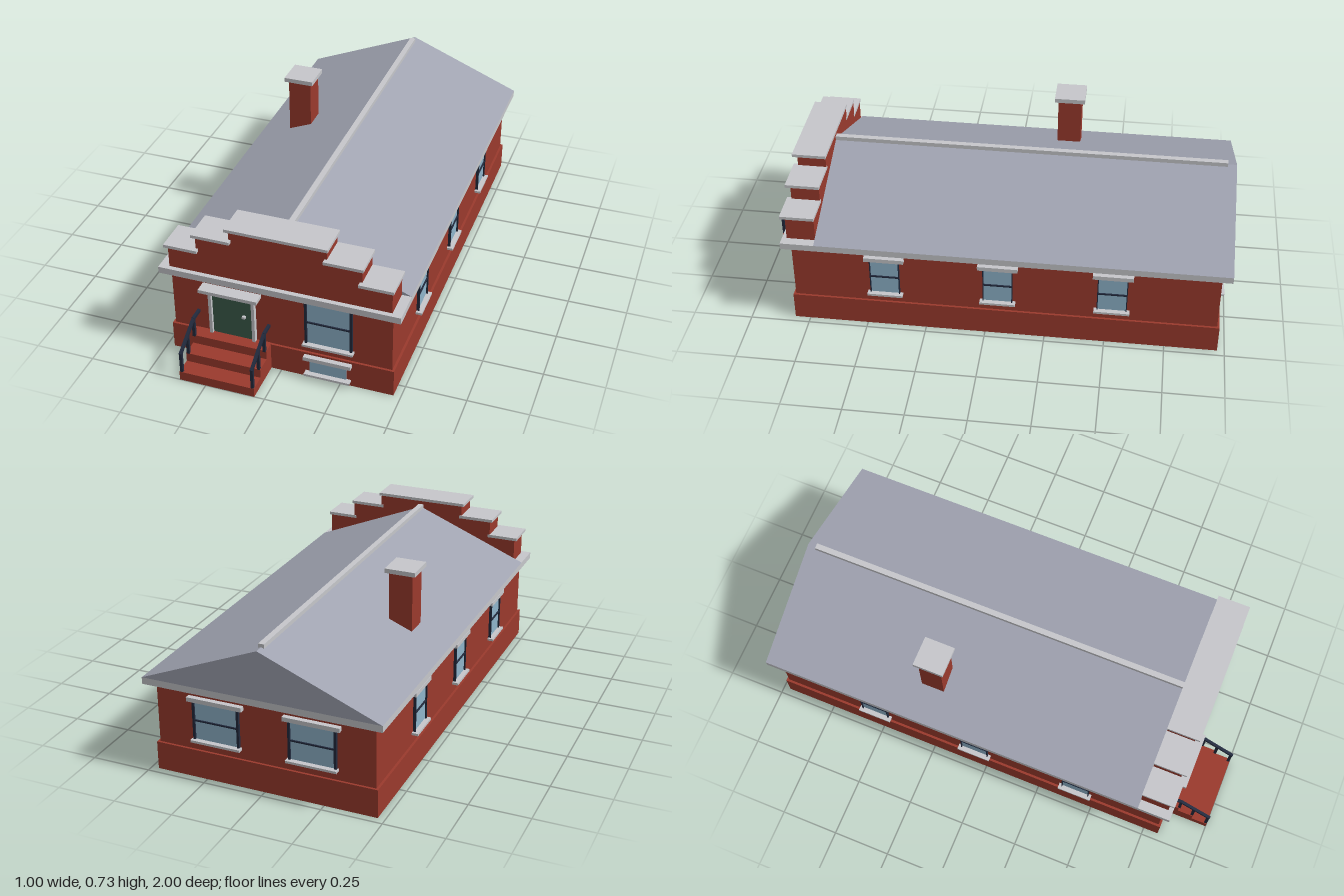
import * as THREE from 'three';

const mat = (name, color) => {
  const m = new THREE.MeshStandardMaterial({ color });
  m.name = name;
  return m;
};

export function createModel() {
  const brick = mat('brick', 0x9a3a2d);
  const trim = mat('stone trim', 0xc6c7cb);
  const slate = mat('roof slate', 0xa0a3b1);
  const glass = mat('window glass', 0x8fb4cb);
  const green = mat('door green', 0x3c5b4b);
  const navy = mat('dark metal', 0x222a3d);

  const model = new THREE.Group();
  model.name = 'building';

  // Box given by its low and high limits on each axis
  const box = (parent, name, m, x0, x1, y0, y1, z0, z1) => {
    const mesh = new THREE.Mesh(new THREE.BoxGeometry(x1 - x0, y1 - y0, z1 - z0), m);
    mesh.position.set((x0 + x1) / 2, (y0 + y1) / 2, (z0 + z1) / 2);
    mesh.name = name;
    parent.add(mesh);
    return mesh;
  };
  const group = (name, parent = model) => {
    const g = new THREE.Group();
    g.name = name;
    parent.add(g);
    return g;
  };

  // Walls, plinth and eaves
  box(model, 'walls', brick, -0.46, 0.46, 0.12, 0.385, -0.96, 0.805);
  box(model, 'plinth', brick, -0.47, 0.47, 0, 0.12, -0.97, 0.815);
  box(model, 'eaves', trim, -0.5, 0.5, 0.383, 0.411, -1, 0.84);

  // Gabled roof with ridge cap
  const gable = new THREE.Shape([
    new THREE.Vector2(-0.5, 0.411),
    new THREE.Vector2(0.5, 0.411),
    new THREE.Vector2(0, 0.615),
  ]);
  const roof = new THREE.Mesh(
    new THREE.ExtrudeGeometry(gable, { depth: 1.7, bevelEnabled: false }), slate);
  roof.position.z = -1;
  roof.name = 'roof';
  model.add(roof);
  box(model, 'ridgeCap', trim, -0.012, 0.012, 0.6, 0.628, -0.962, 0.7);

  // Stepped front parapet with coping stones
  const parapet = group('parapet');
  [[0.46, 0.411, 0.512], [0.34, 0.512, 0.586], [0.2, 0.586, 0.644]].forEach(([w, y0, y1]) =>
    box(parapet, 'parapetStep', brick, -w, w, y0, y1, 0.7, 0.82));
  for (const s of [-1, 1]) {
    [[0.33, 0.47, 0.512], [0.19, 0.35, 0.585]].forEach(([a, b, y]) =>
      box(parapet, 'coping', trim, Math.min(s * a, s * b), Math.max(s * a, s * b),
        y, y + 0.013, 0.698, 0.84));
  }
  box(parapet, 'topCoping', trim, -0.21, 0.21, 0.643, 0.656, 0.698, 0.84);

  // Chimney
  const chimney = group('chimney');
  box(chimney, 'chimneyStack', brick, -0.352, -0.252, 0.45, 0.715, -0.33, -0.23);
  box(chimney, 'chimneyCap', trim, -0.367, -0.238, 0.714, 0.733, -0.345, -0.215);

  // Window facing +z with its wall at z = 0; w is the glass half width
  const addWindow = (name, x, z, turn, { w, y0, y1, jamb, lintel, lintelH, sill, bar = true }) => {
    const g = group(name);
    g.position.set(x, 0, z);
    g.rotation.y = turn;
    box(g, 'glass', glass, -w, w, y0, y1, -0.004, 0.005);
    if (bar) box(g, 'glazingBar', navy, -w, w, (y0 + y1) / 2 - 0.003, (y0 + y1) / 2 + 0.003, 0, 0.011);
    if (jamb) {
      box(g, 'jamb', navy, -w - jamb, -w, y0, y1, 0, 0.012);
      box(g, 'jamb', navy, w, w + jamb, y0, y1, 0, 0.012);
    }
    box(g, 'lintel', trim, -lintel, lintel, y1, y1 + lintelH, -0.005, 0.021);
    box(g, 'sill', trim, -sill, sill, y0 - 0.01, y0, -0.005, 0.026);
  };
  const side = { w: 0.058, y0: 0.17, y1: 0.334, jamb: 0.004, lintel: 0.083, lintelH: 0.018, sill: 0.074 };
  const rear = { ...side, w: 0.09, jamb: 0.01, lintel: 0.118, sill: 0.106 };
  for (const z of [0.418, -0.053, -0.525]) {
    addWindow('leftWindow', 0.46, z, Math.PI / 2, side);
    addWindow('rightWindow', -0.46, z, -Math.PI / 2, side);
  }
  for (const x of [-0.203, 0.203]) addWindow('rearWindow', x, -0.96, Math.PI, rear);
  addWindow('frontWindow', 0.2, 0.805, 0,
    { w: 0.088, y0: 0.17, y1: 0.375, jamb: 0.01, lintel: 0.109, lintelH: 0.008, sill: 0.105 });
  addWindow('basementWindow', 0.199, 0.815, 0,
    { w: 0.077, y0: 0.03, y1: 0.094, lintel: 0.099, lintelH: 0.017, sill: 0.095, bar: false });

  // Front door with frame, lintel and knob
  const door = group('door');
  box(door, 'doorPanel', green, -0.29, -0.117, 0.12, 0.323, 0.8, 0.812);
  box(door, 'doorJamb', trim, -0.301, -0.288, 0.12, 0.337, 0.8, 0.825);
  box(door, 'doorJamb', trim, -0.118, -0.105, 0.12, 0.337, 0.8, 0.825);
  box(door, 'doorHead', trim, -0.288, -0.118, 0.322, 0.337, 0.8, 0.825);
  box(door, 'doorLintel', trim, -0.327, -0.08, 0.337, 0.352, 0.8, 0.857);
  box(door, 'doorKnob', trim, -0.159, -0.146, 0.225, 0.235, 0.81, 0.824);

  // Entrance steps
  const steps = group('steps');
  [1, 0.93, 0.862].forEach((z, i) =>
    box(steps, 'step', brick, -0.361, -0.043, i * 0.0405, (i + 1) * 0.0405, 0.8, z));

  // Handrails: posts, a sloping rail and a level rail to the wall
  for (const x of [-0.352, -0.051]) {
    const rail = group('handrail');
    const r = 0.006;
    [[0.993, 0.04, 0.132], [0.925, 0.08, 0.172], [0.862, 0.12, 0.21]].forEach(([z, y0, y1]) =>
      box(rail, 'post', navy, x - r, x + r, y0, y1, z - r, z + r));
    box(rail, 'levelRail', navy, x - r, x + r, 0.201, 0.213, 0.805, 0.866);
    const slope = box(rail, 'slopingRail', navy, x - r, x + r, -r, r, -0.08, 0.08);
    slope.position.set(x, 0.168, 0.929);
    slope.rotation.x = Math.atan2(0.078, 0.135);
  }

  return model;
}
